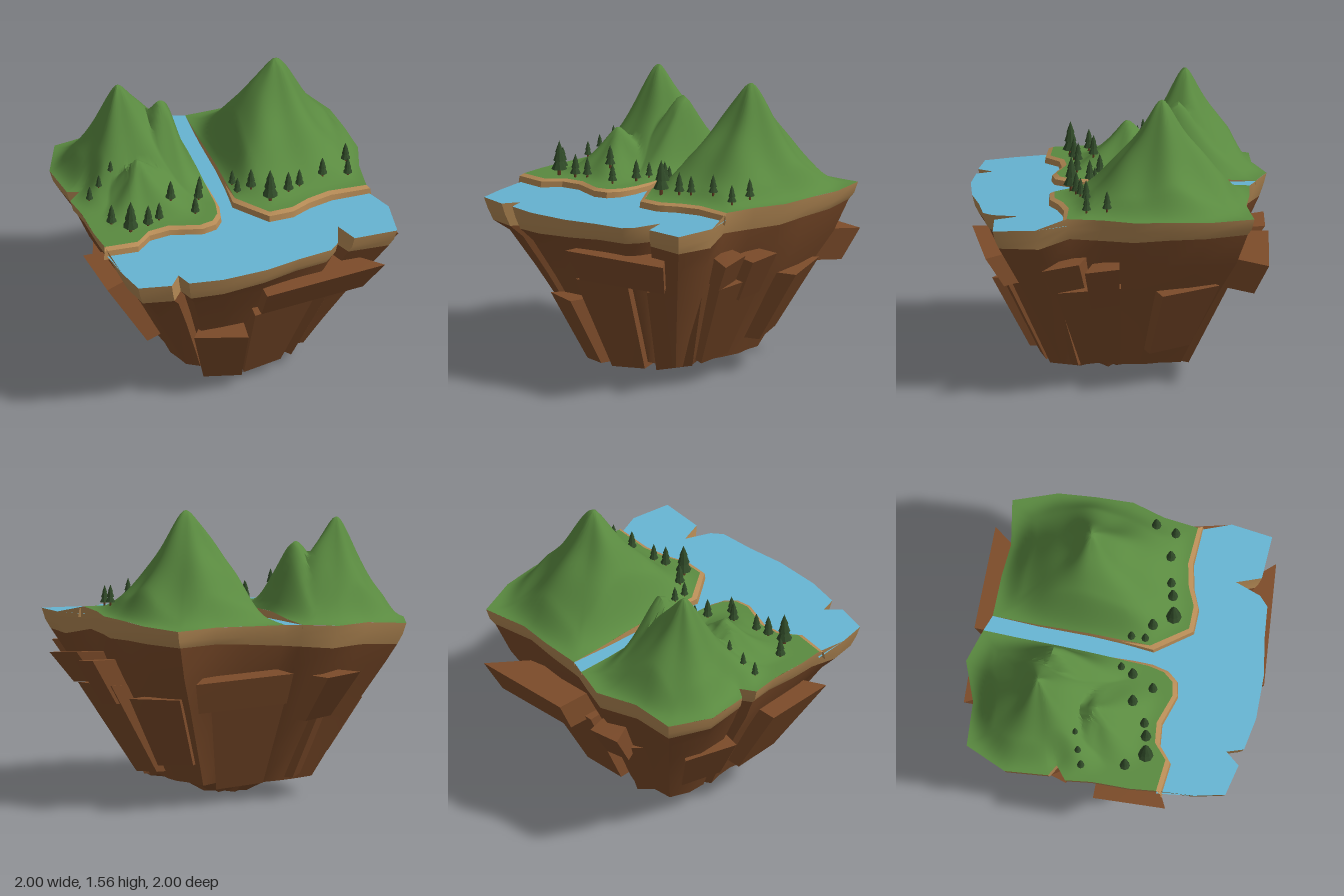
import * as THREE from 'three';
import { toCreasedNormals } from 'three/addons/utils/BufferGeometryUtils.js';

const mat = (color, extra = {}) => new THREE.MeshStandardMaterial({ color, ...extra });
const GRASS = mat(0x5a8a40), SAND = mat(0xb58a55), ROCK = mat(0x7d4c2a);
const BANK = mat(0xb58a55, { side: THREE.DoubleSide });
const WATER = mat(0x66b4d2, { side: THREE.DoubleSide });
const LEAF = mat(0x304a28, { flatShading: true }), TRUNK = mat(0x5e3b22, { flatShading: true });

// Island rim in [x, z], clockwise from above: left land, right land, lake shore
const rimLeft = [[-.4, .76], [-.5, .66], [-.63, .5], [-.73, .4], [-.71, .31], [-.78, .32], [-.94, .15],
  [-1, -.09], [-.82, -.25], [-.7, -.45], [-.52, -.52]];
const rimRight = [[-.43, -.55], [-.25, -.69], [-.1, -.79], [.07, -.98], [.28, -.85], [.42, -.7], [.55, -.55],
  [.62, -.38], [.72, -.22]];
const rimLake = [[.88, -.13], [1, .06], [.81, .2], [.69, .13], [.74, .27], [.73, .34], [.6, .47], [.47, .62],
  [.28, .78], [.12, .87], [.04, .82], [.04, .92], [-.12, 1], [-.25, .9]];
// Water's edge of each piece of land
const bankLeft = [[-.52, -.52], [-.3, -.22], [-.1, .04], [.02, .2], [.06, .28], [.06, .35], [.01, .41], [-.15, .47],
  [-.23, .55], [-.25, .66], [-.4, .76]];
const bankRight = [[.72, -.22], [.55, -.1], [.47, 0], [.42, .1], [.32, .18], [.1, .12], [-.1, -.13], [-.28, -.35], [-.43, -.55]];
const landLeft = [...bankLeft, ...rimLeft.slice(1, -1)];
const landRight = [...rimRight, ...bankRight.slice(1, -1)];

// Peaks: x, z, height, radius, extra reach towards +x and +z
const peaks = [[.13, -.4, .565, .55, -.04, .03], [-.6, .02, .505, .46, .06, -.04],
  [-.39, -.08, .385, .42, .02, 0], [-.4, .26, .225, .32, .04, -.04]];

const hash = i => { const s = Math.sin(i * 12.9898 + 4.1) * 43758.5453; return s - Math.floor(s); };
const waterY = (x, z) => .951 - .05 * z;

function edgeDistance(x, z, poly) {
  let best = 9;
  poly.forEach(([ax, az], i) => {
    const [bx, bz] = poly[(i + 1) % poly.length], dx = bx - ax, dz = bz - az;
    const t = THREE.MathUtils.clamp(((x - ax) * dx + (z - az) * dz) / (dx * dx + dz * dz), 0, 1);
    best = Math.min(best, Math.hypot(x - ax - t * dx, z - az - t * dz));
  });
  return best;
}

// Ground height: gentle base plus the highest of the blunt-topped peaks
function groundY(x, z, poly) {
  let rise = 0;
  for (const [px, pz, h, r, ex, ez] of peaks) {
    const a = Math.atan2(z - pz, x - px), d = Math.hypot(x - px, z - pz);
    const reach = r + ex * Math.cos(a) + ez * Math.sin(a) + .03 * Math.sin(5 * a);
    rise = Math.max(rise, h * Math.max(0, 1.07 - Math.hypot(d / reach, .07)) ** 1.9);
  }
  rise *= 1 + .06 * Math.sin(19 * x + 1) * Math.sin(17 * z);
  const fall = THREE.MathUtils.smoothstep(edgeDistance(x, z, poly), -.03, .13);
  return .985 + .02 * x - .03 * Math.max(z, -.1) + rise * fall - (x < -.6 ? (-.6 - x) * .07 : 0);
}

// Skin over rows of points, ordered top to bottom or inside to outside
function loft(rows, closed) {
  const pos = [], n = rows[0].length;
  for (let i = 0; i < rows.length - 1; i++) {
    for (let j = 0; j < (closed ? n : n - 1); j++) {
      const k = (j + 1) % n, a = rows[i][j], b = rows[i][k], c = rows[i + 1][j], d = rows[i + 1][k];
      pos.push(...a, ...b, ...d, ...a, ...d, ...c);
    }
  }
  const g = new THREE.BufferGeometry();
  g.setAttribute('position', new THREE.Float32BufferAttribute(pos, 3));
  return g;
}

const subdivide = (pts, k, closed) => pts.flatMap((p, i) => {
  if (!closed && i === pts.length - 1) return [p];
  const q = pts[(i + 1) % pts.length];
  return Array.from({ length: k }, (_, s) => [p[0] + (q[0] - p[0]) * s / k, p[1] + (q[1] - p[1]) * s / k]);
});

function add(parent, name, geometry, material) {
  const m = new THREE.Mesh(geometry, material);
  m.name = name;
  parent.add(m);
  return m;
}

// Hilly grass spreading from a peak to the edge, with a sandy bank along the water
function addLand(parent, name, poly, bank, [cx, cz]) {
  const edge = subdivide(poly, 5, true), rows = [];
  for (let i = 0; i <= 28; i++) {
    rows.push(edge.map(([x, z]) => {
      const px = cx + (x - cx) * i / 28, pz = cz + (z - cz) * i / 28;
      return [px, groundY(px, pz, poly), pz];
    }));
  }
  add(parent, name + 'Grass', toCreasedNormals(loft(rows, true), 1), GRASS);

  const shore = subdivide(bank, 2, false);
  const row = (out, y) => shore.map(([x, z]) => {
    const d = Math.hypot(x - cx, z - cz);
    const o = out * THREE.MathUtils.smoothstep(x + 1.2 * z, -.1, .2);
    const px = x + (x - cx) / d * o, pz = z + (z - cz) / d * o;
    return [px, y(x, z), pz];
  });
  const top = (x, z) => groundY(x, z, poly);
  add(parent, name + 'Bank', toCreasedNormals(loft([row(0, top), row(.026, (x, z) => top(x, z) - .012),
    row(.034, (x, z) => waterY(x, z) - .02)], false), .5), BANK);
}

// Slab of rock jutting from the slope between two outer corners
function addSlab(parent, [ax, az], [bx, bz], top, bottom, shrink) {
  const g = new THREE.BoxGeometry(1, 1, 1), p = g.attributes.position;
  for (let i = 0; i < p.count; i++) {
    const u = p.getX(i) + .5, up = p.getY(i) > 0;
    const s = (p.getZ(i) > 0 ? 1 : .65) * (up ? 1 : shrink);
    p.setXYZ(i, (ax + (bx - ax) * u) * s, (up ? top : bottom) + .02 * (u - .5), (az + (bz - az) * u) * s);
  }
  add(parent, 'rockSlab', toCreasedNormals(g, .3), ROCK);
}

function addTree(parent, x, z, r, poly) {
  const tree = new THREE.Group(), h = r * 4.6;
  tree.name = 'tree';
  tree.position.set(x, groundY(x, z, poly) - .005, z);
  add(tree, 'trunk', new THREE.CylinderGeometry(r * .18, r * .25, h * .3, 6), TRUNK).position.y = h * .15;
  for (let i = 0; i < 3; i++) {
    const tier = new THREE.CylinderGeometry(i === 2 ? 0 : r * .3, r * (1 - .24 * i), h * .32, 8);
    add(tree, 'foliage', tier, LEAF).position.y = h * (.36 + .24 * i);
  }
  parent.add(tree);
}

export function createModel() {
  const island = new THREE.Group();
  island.name = 'floatingIsland';

  // Sand layer and tapering rock below it
  const rim = [...rimLeft, ...rimRight, ...rimLake];
  const rimY = rim.map(([x, z], i) => i < rimLeft.length ? groundY(x, z, landLeft)
    : i < rimLeft.length + rimRight.length ? groundY(x, z, landRight) : waterY(x, z));
  const sandY = rim.map(([x, z], i) => rimY[i] - .11 + .015 * Math.sin(3 * Math.atan2(z, x)));
  const ring = (s, y, rough = 0) => rim.map(([x, z], i) => {
    const k = s * (1 + rough * (hash(i) - .5));
    return [x * k, typeof y === 'number' ? y + rough * .25 * (hash(i + 50) - .5) : y[i], z * k];
  });
  add(island, 'sandLayer', toCreasedNormals(loft([ring(1, rimY), ring(.98, rimY.map(y => y - .06)), ring(.95, sandY)], true), .8), SAND);
  add(island, 'rockBody', toCreasedNormals(loft([ring(.95, sandY), ring(.87, .72, .03), ring(.73, .52, .04),
    ring(.57, .27, .06), ring(.46, .09, .08), ring(.28, .08, .1), ring(.13, .012, .1), ring(0, 0)], true), .9), ROCK);

  // Rock slabs: left and right outer corners, top, bottom, taper
  [[[-.03, -1], [-.49, -.63], .72, .55, .9], [[.91, -.2], [.74, -.32], .76, .6, .86],
    [[.74, -.36], [.62, -.5], .74, .5, .82], [[.47, .62], [.96, .14], .76, .58, .86],
    [[.07, .66], [.35, .58], .43, .06, .7], [[-.62, .5], [-.37, .8], .7, .24, .66],
    [[-.65, -.48], [-.8, -.35], .7, .45, .78], [[.4, -.62], [.1, -.77], .58, .2, .7],
    [[.66, .2], [.66, -.1], .57, .08, .64], [[-.58, -.3], [-.64, .05], .52, .12, .7],
    [[.76, -.18], [.53, -.44], .6, .12, .6], [[-.06, -.72], [-.42, -.46], .58, .08, .62],
    [[.38, .56], [.62, .3], .58, .06, .62], [[-.74, .02], [-.64, .3], .53, .24, .75]]
    .forEach(s => addSlab(island, ...s));

  // River and lake in one sloping sheet
  const outline = [...bankLeft, ...[...rimLake].reverse(), ...bankRight];
  const sheet = new THREE.ShapeGeometry(new THREE.Shape(outline.map(([x, z]) => new THREE.Vector2(x, -z))));
  sheet.rotateX(-Math.PI / 2);
  const p = sheet.attributes.position;
  for (let i = 0; i < p.count; i++) p.setY(i, waterY(p.getX(i), p.getZ(i)));
  sheet.computeVertexNormals();
  add(island, 'water', sheet, WATER);

  addLand(island, 'left', landLeft, bankLeft, peaks[1]);
  addLand(island, 'right', landRight, bankRight, peaks[0]);

  // Trees along the shores: x, z, radius
  [[.29, .09, .042], [.17, .06, .028], [.36, 0, .028], [.4, -.06, .024], [.49, -.17, .026], [.6, -.26, .025],
    [.55, -.36, .026], [.1, .08, .021], [.05, .025, .021]].forEach(t => addTree(island, ...t, landRight));
  [[-.32, .58, .042], [-.1, .12, .02], [-.08, .19, .027], [-.19, .32, .028], [-.05, .32, .025], [-.21, .44, .025],
    [-.25, .5, .029], [-.44, .55, .028], [-.55, .27, .016], [-.59, .34, .018], [-.62, .4, .02]]
    .forEach(t => addTree(island, ...t, landLeft));
  return island;
}
